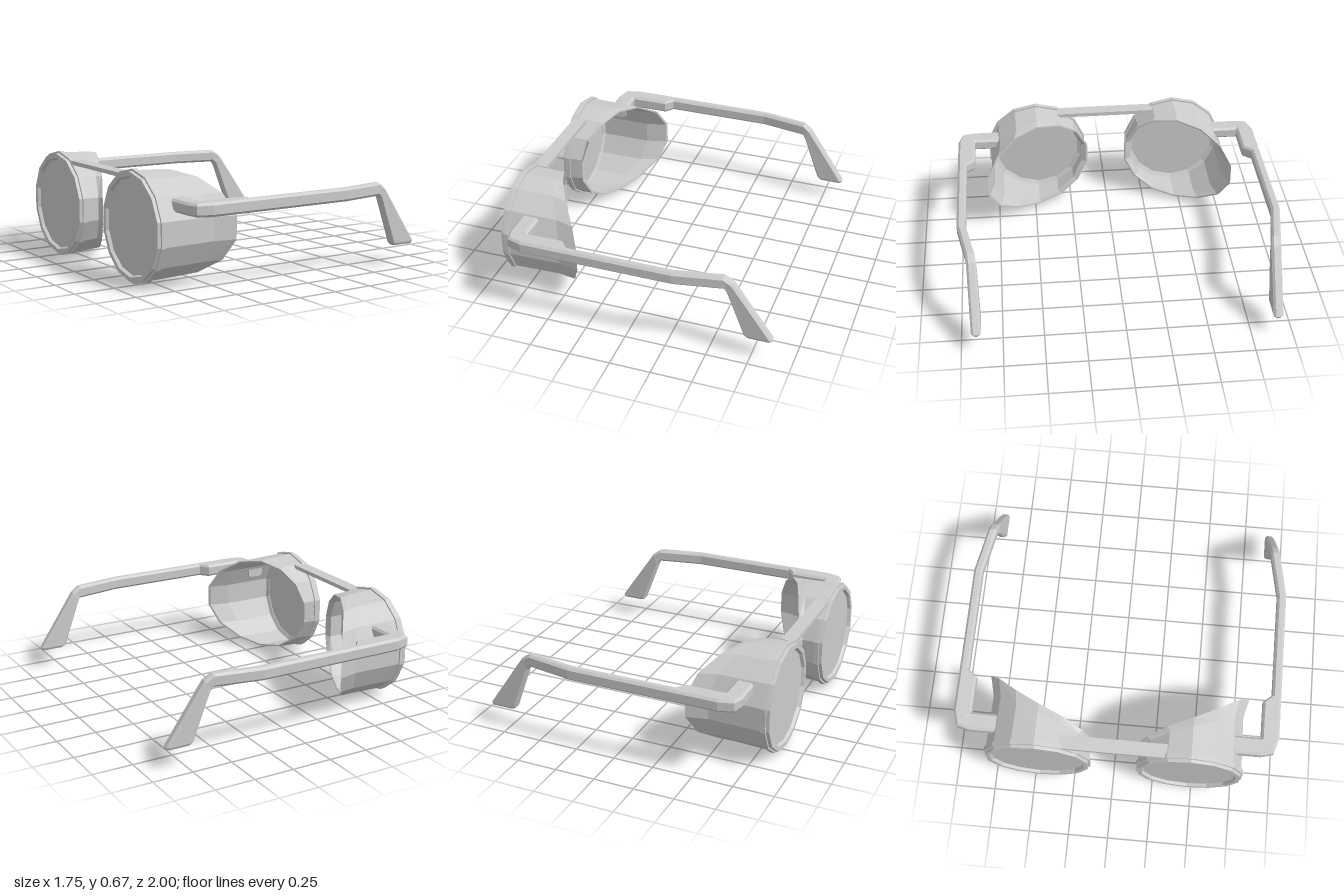
import * as THREE from 'three';

const material = new THREE.MeshStandardMaterial({ color: 0xcccccc, flatShading: true, side: THREE.DoubleSide });
const SIDES = 14, EYE_Y = 0.336, EYE_Z = 0.47, RIM_X = -0.83;

function mesh(name, geometry) {
  const flat = geometry.index ? geometry.toNonIndexed() : geometry;
  flat.computeVertexNormals();
  const m = new THREE.Mesh(flat, material);
  m.name = name;
  return m;
}

// Rear edge of the eye cup: sweeps back towards the temple (d = outward offset from the eye centre)
function rearX(d) {
  return d < 0.09 ? -0.56 + (d - 0.09) * 0.4 : -0.56 + (d - 0.09) * 0.74;
}

// Rim and side shield as one closed lathe; the part behind the rim is stretched to the slanted rear edge
function eyeCup(s) {
  const profile = [
    [0.285, -0.862], [0.295, -0.88], [0.322, -0.88], [0.324, -0.86], [0.336, -0.86], [0.336, RIM_X], [0.326, RIM_X],
    [0.319, RIM_X + 0.75], [0.32, RIM_X + 1], [0.31, RIM_X + 1], [0.307, RIM_X + 0.75],
    [0.308, RIM_X], [0.285, -0.842], [0.285, -0.862],
  ].map(([r, h]) => new THREE.Vector2(r, h));
  const g = new THREE.LatheGeometry(profile, SIDES, Math.PI / 2);
  g.rotateZ(-Math.PI / 2);
  const p = g.attributes.position;
  for (let i = 0; i < p.count; i++) {
    const t = p.getX(i) - RIM_X;
    if (t < 0.01) continue;
    const flare = t > 0.9 ? 1.1 : 1;
    const z = p.getZ(i) * flare;
    p.setXYZ(i, RIM_X + t * (rearX(s * z) - RIM_X), p.getY(i) * (t > 0.9 ? 0.97 : 1), z);
  }
  g.translate(0, EYE_Y, s * EYE_Z);
  return g;
}

function lens(s) {
  const g = new THREE.CylinderGeometry(0.29, 0.29, 0.016, SIDES, 1, false, Math.PI / 2);
  g.rotateZ(-Math.PI / 2);
  g.translate(-0.854, EYE_Y, s * EYE_Z);
  return g;
}

// Temple arm sections: centre x, y, z, then half width (x, z) and half height (x, y)
const ARM = [
  [-0.705, 0.49, 0.72, -0.055, 0, 0, 0.037],
  [-0.705, 0.49, 0.89, -0.055, 0.005, 0, 0.037],
  [-0.695, 0.49, 0.93, -0.045, 0.04, 0, 0.039],
  [-0.648, 0.49, 0.943, 0, 0.055, 0, 0.04],
  [-0.42, 0.49, 0.943, 0, 0.055, 0, 0.04],
  [-0.375, 0.49, 0.97, 0, 0.028, 0, 0.04],
  [0.29, 0.49, 0.97, 0, 0.028, 0, 0.04],
  [0.58, 0.49, 0.916, 0, 0.029, 0, 0.04],
  [0.615, 0.46, 0.91, 0, 0.03, 0.018, 0.034],
  [0.789, 0.142, 0.904, 0, 0.03, 0.086, 0],
  [0.794, 0.127, 0.904, 0, 0.022, 0.075, 0],
];

// Loft of bevelled rectangles along the arm, mirrored by s
function arm(s) {
  const bevel = 0.014, pos = [], index = [], n = 8;
  for (const [cx, cy, cz, ux, uz, vx, vy] of ARM) {
    const ku = 1 - bevel / Math.hypot(ux, uz), kv = 1 - bevel / Math.hypot(vx, vy);
    const ring = [[1, -kv], [1, kv], [ku, 1], [-ku, 1], [-1, kv], [-1, -kv], [-ku, -1], [ku, -1]];
    for (const [a, b] of ring) pos.push(cx + a * ux + b * vx, cy + b * vy, s * (cz + a * uz));
  }
  const tri = (a, b, c) => (s > 0 ? index.push(a, b, c) : index.push(a, c, b));
  const last = (ARM.length - 1) * n;
  for (let r = 0; r < last; r += n) {
    for (let j = 0; j < n; j++) {
      const k = (j + 1) % n;
      tri(r + j, r + n + j, r + k);
      tri(r + k, r + n + j, r + n + k);
    }
  }
  for (let j = 1; j < n - 1; j++) {
    tri(0, j, j + 1);
    tri(last, last + j + 1, last + j);
  }
  const g = new THREE.BufferGeometry();
  g.setAttribute('position', new THREE.Float32BufferAttribute(pos, 3));
  g.setIndex(index);
  return g;
}

export function createModel() {
  const model = new THREE.Group();
  model.name = 'glasses';
  for (const [side, s] of [['left', 1], ['right', -1]]) {
    model.add(mesh(side + 'EyeCup', eyeCup(s)), mesh(side + 'Lens', lens(s)), mesh(side + 'Arm', arm(s)));
  }

  // Flat bar joining the two cups
  const bridge = new THREE.BoxGeometry(0.085, 0.025, 0.65);
  bridge.translate(-0.815, 0.617, 0);
  model.add(mesh('bridge', bridge));
  return model;
}
